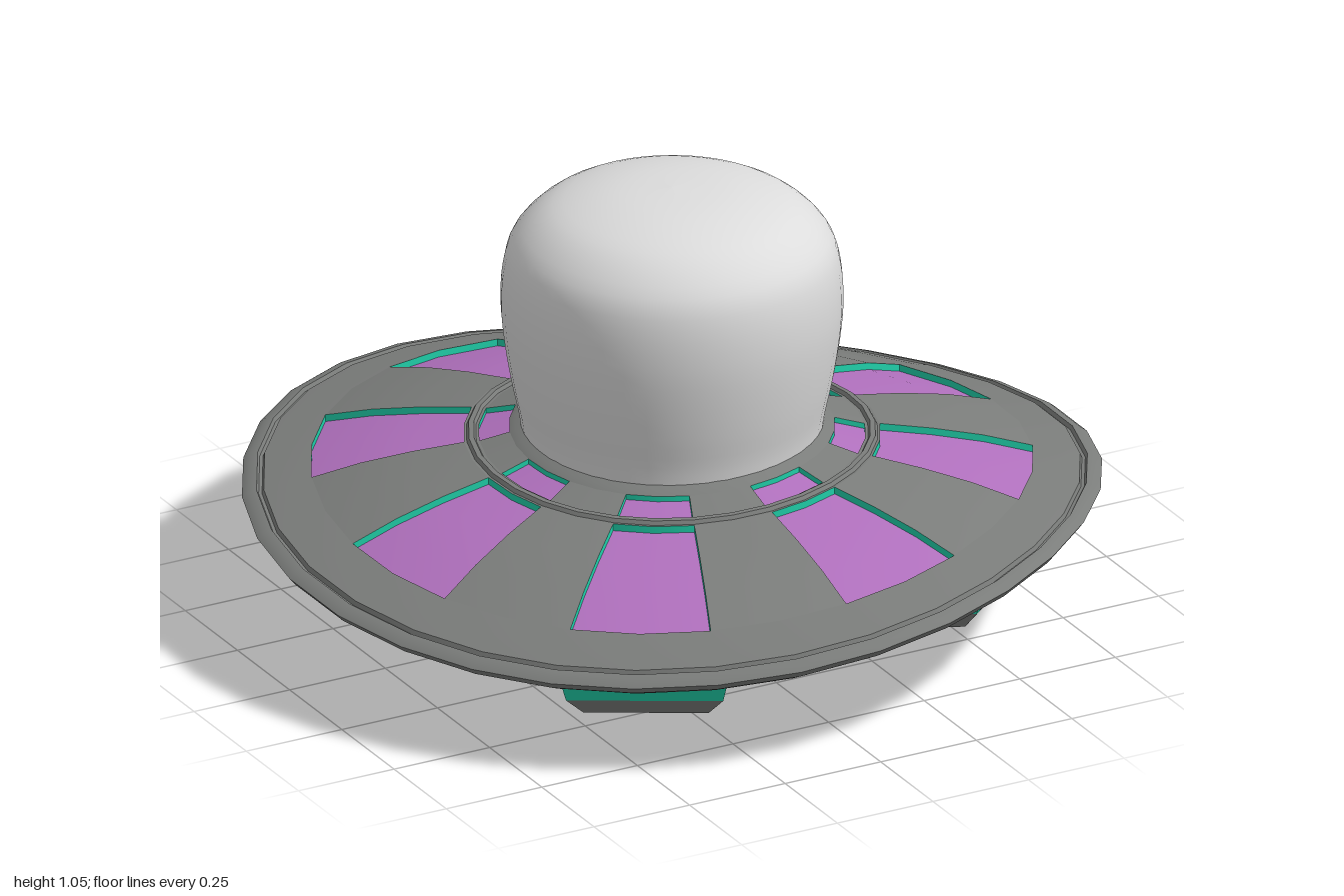
import * as THREE from 'three';
import { toCreasedNormals } from 'three/addons/utils/BufferGeometryUtils.js';

const mat = (name, color, double) => {
  const m = new THREE.MeshStandardMaterial({ color });
  m.name = name;
  if (double) m.side = THREE.DoubleSide;
  return m;
};
const SIDES = 32;
const STEP = (Math.PI * 2) / SIDES;
const POD_START = THREE.MathUtils.degToRad(39);

// the hull is gently warped like a saddle, high at two opposite diagonals
function warp(p) {
  const s = 2 * p.x * p.z;
  const k = 1 - 0.014 * s * s;
  return p.set(p.x * k, p.y + 0.052 * s, p.z * k);
}

export function createModel() {
  const model = new THREE.Group();
  model.name = 'flyingSaucer';
  const grey = mat('hullGrey', 0x7b7d7b);
  const white = mat('domeWhite', 0xdcdcdc);
  const purple = mat('panelPurple', 0xb070bd);
  const teal = mat('trimTeal', 0x20cfa9, true);
  const black = mat('engineBlack', 0x383838);

  const add = (name, geo, material, parent = model) => {
    const mesh = new THREE.Mesh(geo, material);
    mesh.name = name;
    parent.add(mesh);
    return mesh;
  };
  // warped lathe over a number of hull segments; profiles run from the outside bottom to the inside top
  const lathe = (pts, start = 0, count = SIDES) => {
    const geo = new THREE.LatheGeometry(
      pts.map(([r, y]) => new THREE.Vector2(r, y)), count, start * STEP, count * STEP);
    const pos = geo.attributes.position;
    const v = new THREE.Vector3();
    for (let i = 0; i < pos.count; i++) {
      warp(v.fromBufferAttribute(pos, i));
      pos.setXYZ(i, v.x, v.y, v.z);
    }
    return geo;
  };
  const quads = (list) => {
    const pts = [];
    for (const [a, b, c, d] of list) pts.push(a, b, c, a, c, d);
    const geo = new THREE.BufferGeometry().setFromPoints(pts);
    geo.computeVertexNormals();
    return geo;
  };

  // underside with its ring around the engine
  add('underside', toCreasedNormals(lathe([[0.47, 0.105], [0.49, 0.088], [0.525, 0.117], [0.62, 0.14],
    [0.74, 0.168], [0.85, 0.2], [0.93, 0.232], [0.985, 0.262], [1, 0.28]]), 0.45), grey);

  // upper hull: rim, step between the panel rings and collar
  add('rim', toCreasedNormals(lathe([[1, 0.28], [0.985, 0.292], [0.965, 0.298], [0.96, 0.289],
    [0.952, 0.289], [0.948, 0.3], [0.9, 0.315], [0.835, 0.333]]), 0.45), grey);
  add('innerRing', toCreasedNormals(lathe([[0.48, 0.422], [0.474, 0.422], [0.469, 0.431],
    [0.457, 0.432], [0.452, 0.424], [0.445, 0.425]]), 0.45), grey);
  add('collar', lathe([[0.375, 0.446], [0.362, 0.455], [0.34, 0.465]]), grey);

  // a ring of recessed panels alternating with plain hull
  function panelRing(name, profile, depth) {
    const ring = new THREE.Group();
    ring.name = name;
    model.add(ring);
    const floor = profile.map(([r, y]) => [r, y - depth]);
    const last = profile.length - 1;
    const at = ([r, y], a) => warp(new THREE.Vector3(r * Math.sin(a), y, r * Math.cos(a)));
    for (let i = 0; i < 8; i++) {
      const s = i * 4;
      add('hullSector', lathe(profile, s + 2, 2), grey, ring);
      add('panelFloor', lathe(floor, s, 2), purple, ring);
      add('outerWall', lathe([profile[0], floor[0]], s, 2), teal, ring);
      add('innerWall', lathe([floor[last], profile[last]], s, 2), teal, ring);
      const walls = [];
      for (const a of [s * STEP, (s + 2) * STEP]) {
        for (let j = 0; j < last; j++) {
          walls.push([at(floor[j], a), at(floor[j + 1], a), at(profile[j + 1], a), at(profile[j], a)]);
        }
      }
      add('sideWalls', quads(walls), teal, ring);
    }
  }
  panelRing('largePanels', [[0.835, 0.333], [0.72, 0.371], [0.6, 0.4], [0.48, 0.422]], 0.017);
  panelRing('smallPanels', [[0.445, 0.425], [0.375, 0.446]], 0.013);

  // dome
  const domePoints = [[0.347, 0.45], [0.354, 0.5], [0.371, 0.58], [0.387, 0.68], [0.394, 0.77], [0.388, 0.86],
    [0.364, 0.93], [0.3, 0.992], [0.22, 1.025], [0.12, 1.044], [0, 1.05]];
  const curve = new THREE.SplineCurve(domePoints.map(([r, y]) => new THREE.Vector2(r, y)));
  const smooth = curve.getPoints(30).map((p) => new THREE.Vector2(Math.max(0, p.x), p.y));
  add('dome', new THREE.LatheGeometry(smooth, 48), white);

  // landing pods: teal upper band, grey lower band and grey foot
  const up = new THREE.Vector3(0, 1, 0);
  const podRing = (angle, [ro, yo, wo], [ri, yi, wi]) =>
    [[-wo, yo, ro], [wo, yo, ro], [wi, yi, ri], [-wi, yi, ri]].map(
      (c) => warp(new THREE.Vector3(...c).applyAxisAngle(up, angle)));
  const band = (lo, hi) => quads([0, 1, 2, 3].map((i) => {
    const j = (i + 1) % 4;
    return [lo[i], lo[j], hi[j], hi[i]];
  }));
  for (let i = 0; i < 5; i++) {
    const angle = POD_START + (i * Math.PI * 2) / 5;
    const pod = new THREE.Group();
    pod.name = 'pod';
    model.add(pod);
    const top = podRing(angle, [0.855, 0.222, 0.195], [0.51, 0.14, 0.128]);
    const mid = podRing(angle, [0.835, 0.163, 0.182], [0.53, 0.094, 0.112]);
    const foot = podRing(angle, [0.79, 0.11, 0.145], [0.56, 0.062, 0.092]);
    add('podTrim', band(mid, top), teal, pod);
    add('podBody', band(foot, mid), grey, pod);
    add('podFoot', quads([[...foot].reverse()]), grey, pod);
  }

  // engine: dark funnel, glowing centre and stepped ribs
  const engine = new THREE.Group();
  engine.name = 'engine';
  model.add(engine);
  add('engineFunnel', toCreasedNormals(lathe([[0.19, 0.1], [0.27, 0.045], [0.31, 0.045], [0.4, 0.085],
    [0.48, 0.102]]), 0.4), black, engine);
  const core = add('engineCore', new THREE.CircleGeometry(0.21, SIDES), teal, engine);
  core.rotation.x = Math.PI / 2;
  core.position.y = 0.096;
  for (let i = 0; i < 20; i++) {
    const rib = new THREE.Group();
    rib.name = 'engineRib';
    rib.rotation.y = (i * Math.PI * 2) / 20;
    engine.add(rib);
    const inner = add('ribInner', new THREE.BoxGeometry(0.034, 0.03, 0.1), black, rib);
    inner.position.set(0, 0.062, 0.24);
    inner.rotation.x = 0.65;
    const tooth = add('ribTooth', new THREE.BoxGeometry(0.045, 0.05, 0.05), black, rib);
    tooth.position.set(0, 0.025, 0.295);
    const slope = add('ribSlope', new THREE.BoxGeometry(0.05, 0.035, 0.15), black, rib);
    slope.position.set(0, 0.06, 0.378);
    slope.rotation.x = -0.46;
  }
  return model;
}
